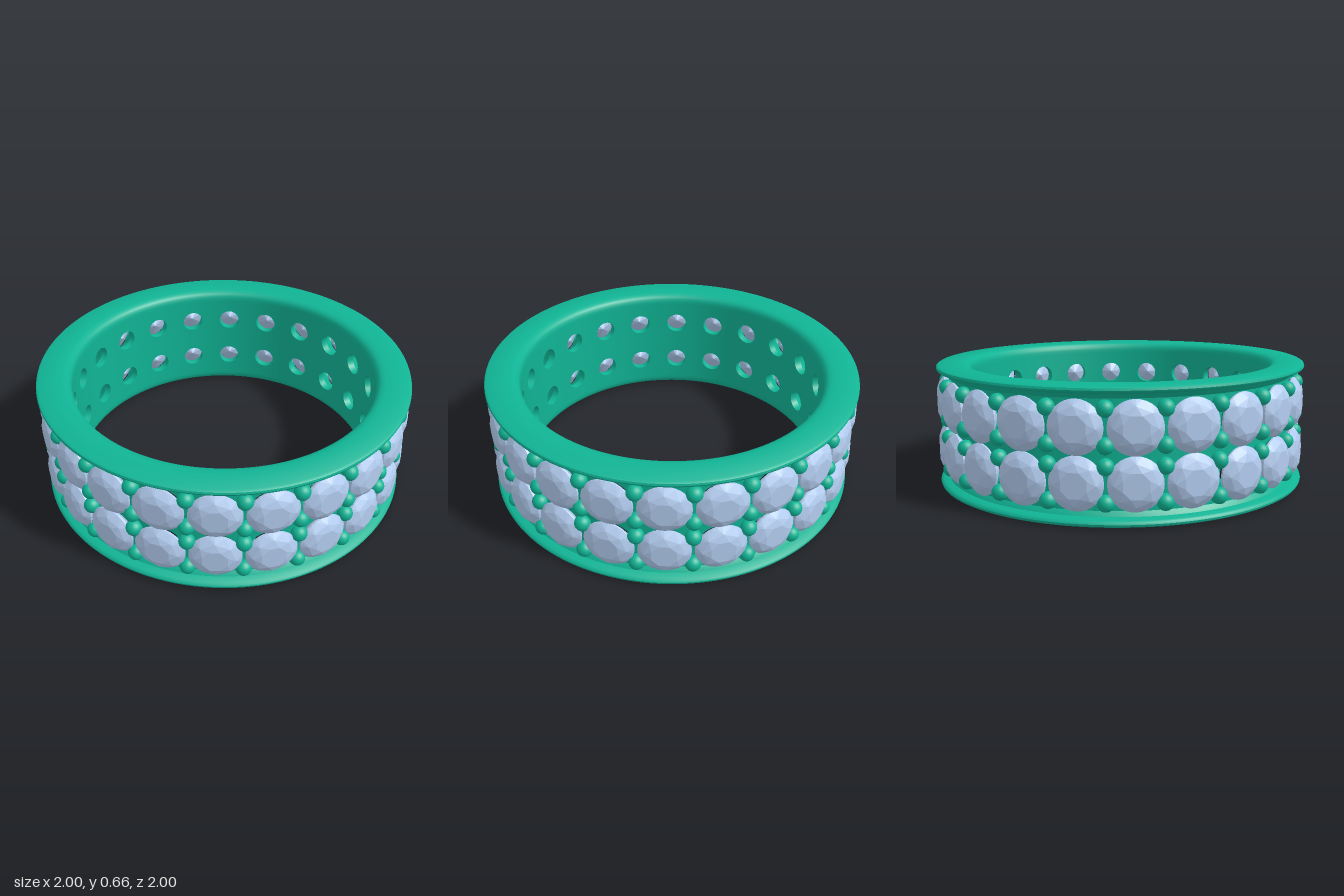
import * as THREE from 'three';
import { toCreasedNormals, mergeGeometries } from 'three/addons/utils/BufferGeometryUtils.js';
import { ConvexGeometry } from 'three/addons/geometries/ConvexGeometry.js';

const COUNT = 22;                       // stones per row
const STEP = (Math.PI * 2) / COUNT;
const SIDE = 8;                         // subdivisions along one edge of a setting
const INNER = 0.815, OUTER = 0.935;     // radii of the pierced wall
const HALF_CELL = 0.13;                 // half height of one setting, and row offset
const GIRDLE = 0.955;                   // radius at which stones and beads sit

// One pierced setting: inner wall, hole, conical seat and outer wall
function settingGeometry() {
  // [blend from hole to cell edge, hole radius, distance from ring axis]
  const path = [
    [1, 0.06, INNER], [0.66, 0.06, INNER], [0.33, 0.06, INNER], [0, 0.06, INNER],
    [0, 0.06, 0.855], [0, 0.118, OUTER], [0.5, 0.118, OUTER], [1, 0.118, OUTER],
  ];
  const corners = [[1, -1], [1, 1], [-1, 1], [-1, -1]];
  const edge = [];
  corners.forEach(([x, y], i) => {
    const [nx, ny] = corners[(i + 1) % 4];
    for (let k = 0; k < SIDE; k++) {
      edge.push([x + ((nx - x) * k) / SIDE, y + ((ny - y) * k) / SIDE]);
    }
  });
  const n = edge.length, pos = [], index = [];
  for (const [blend, hole, radius] of path) {
    for (const [ex, ey] of edge) {
      const len = Math.hypot(ex, ey);
      const a = THREE.MathUtils.lerp((hole * ex) / len / radius, (ex * STEP) / 2, blend);
      const y = THREE.MathUtils.lerp((hole * ey) / len, ey * HALF_CELL, blend);
      pos.push(radius * Math.sin(a), y, radius * Math.cos(a));
    }
  }
  for (let j = 0; j < path.length - 1; j++) {
    for (let k = 0; k < n; k++) {
      const a = j * n + k, b = j * n + ((k + 1) % n);
      index.push(a, a + n, b + n, a, b + n, b);
    }
  }
  const geo = new THREE.BufferGeometry();
  geo.setAttribute('position', new THREE.Float32BufferAttribute(pos, 3));
  geo.setIndex(index);
  return geo;
}

// Faceted round stone, table facing +z
function stoneGeometry() {
  const points = [new THREE.Vector3(0, 0, -0.105)];
  const ring = (count, radius, z, turn = 0) => {
    for (let i = 0; i < count; i++) {
      const a = ((i + turn) / count) * Math.PI * 2;
      points.push(new THREE.Vector3(radius * Math.cos(a), radius * Math.sin(a), z));
    }
  };
  ring(8, 0.066, 0.044, 0.5);
  ring(8, 0.102, 0.031);
  ring(32, 0.13, 0.004);
  ring(32, 0.13, -0.006);
  ring(8, 0.066, -0.058);
  return new ConvexGeometry(points);
}

// Flanged rim; dir = 1 for the top, -1 for the bottom
function rimGeometry(dir) {
  const profile = [
    [OUTER, 0.26], [0.945, 0.272], [0.952, 0.283], [0.985, 0.29], [0.996, 0.296],
    [1, 0.305], [0.997, 0.315], [0.985, 0.322], [0.865, 0.322], [0.842, 0.318],
    [0.826, 0.308], [0.818, 0.294], [INNER, 0.278], [INNER, 0.26],
  ].map(([r, y]) => new THREE.Vector2(r, y * dir));
  if (dir < 0) profile.reverse();
  return toCreasedNormals(new THREE.LatheGeometry(profile, COUNT * SIDE), 0.7);
}

export function createModel() {
  const metal = new THREE.MeshStandardMaterial({ color: 0x10b495 });
  const gem = new THREE.MeshStandardMaterial({ color: 0xb3cdf0 });
  const ring = new THREE.Group();
  ring.name = 'ring';

  const add = (name, geometry, material, parent = ring) => {
    const mesh = new THREE.Mesh(geometry, material);
    mesh.name = name;
    parent.add(mesh);
    return mesh;
  };

  // Band
  add('topRim', rimGeometry(1), metal);
  add('bottomRim', rimGeometry(-1), metal);
  const cells = [];
  for (const row of [1, -1]) {
    for (let i = 0; i < COUNT; i++) {
      cells.push(settingGeometry().rotateY(i * STEP).translate(0, row * HALF_CELL, 0));
    }
  }
  add('piercedBand', toCreasedNormals(mergeGeometries(cells), 0.5), metal);

  // Two rows of stones
  const stones = new THREE.Group();
  stones.name = 'stones';
  ring.add(stones);
  const stoneGeo = stoneGeometry();
  for (const row of [1, -1]) {
    for (let i = 0; i < COUNT; i++) {
      const a = i * STEP;
      const stone = add('stone', stoneGeo, gem, stones);
      stone.position.set(GIRDLE * Math.sin(a), row * HALF_CELL, GIRDLE * Math.cos(a));
      stone.rotation.y = a;
    }
  }

  // Four rows of holding beads between the stones
  const beads = new THREE.Group();
  beads.name = 'beads';
  ring.add(beads);
  const beadGeo = new THREE.SphereGeometry(0.041, 18, 12);
  for (const y of [0.218, 0.048, -0.048, -0.218]) {
    for (let i = 0; i < COUNT; i++) {
      const a = (i + 0.5) * STEP;
      add('bead', beadGeo, metal, beads)
        .position.set(GIRDLE * Math.sin(a), y, GIRDLE * Math.cos(a));
    }
  }

  // Slight lean, resting on the ground
  ring.rotation.x = -0.006;
  ring.position.y = 0.328;
  const model = new THREE.Group();
  model.name = 'stoneSetRing';
  model.add(ring);
  return model;
}
